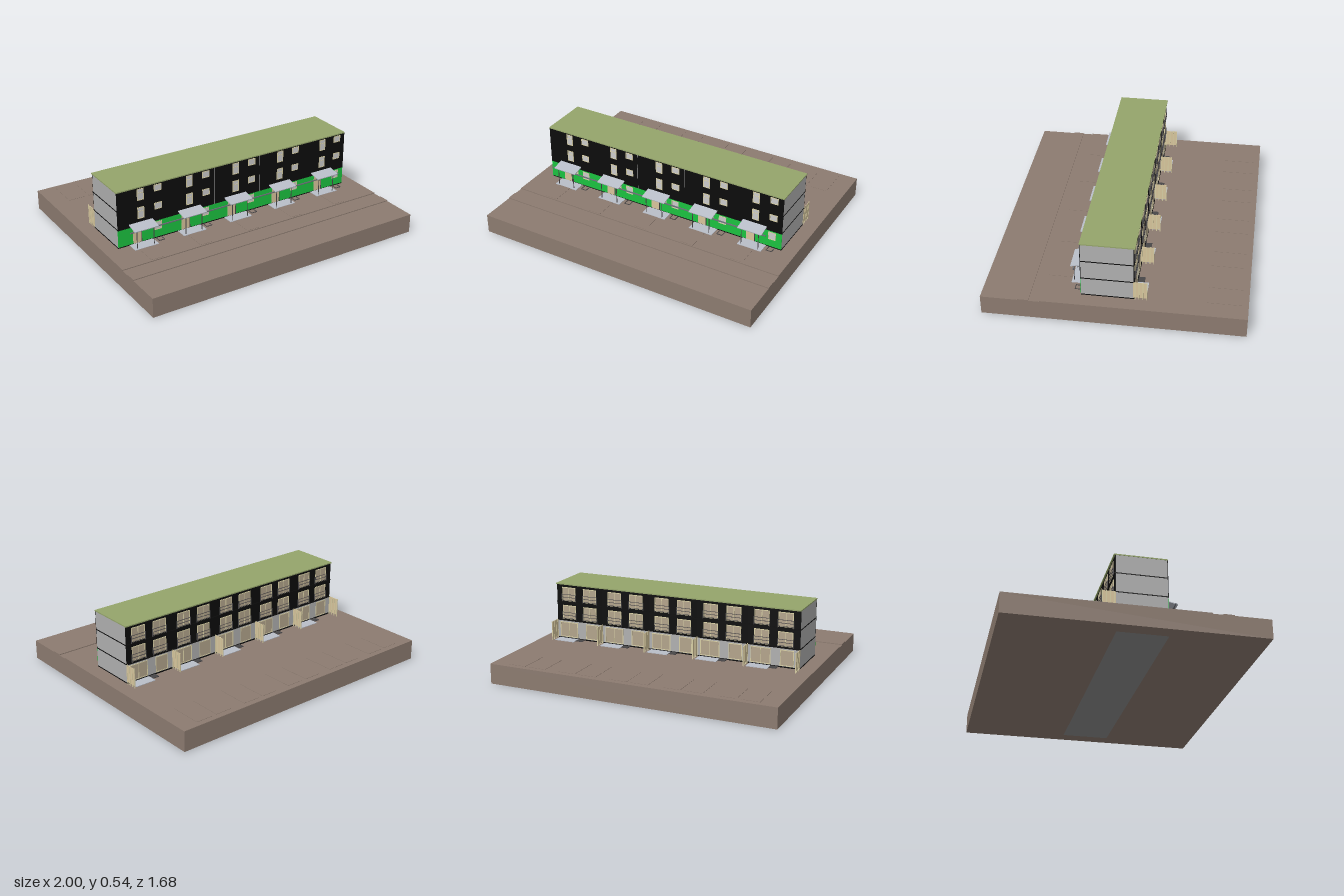
import * as THREE from 'three';

const mat = (color) => new THREE.MeshStandardMaterial({ color });
const M = {
  soil: mat(0x8c7b70), grey: mat(0xb0b0b0), slab: mat(0x8a8a8a), black: mat(0x0c0c0c),
  green: mat(0x1bc23f), roof: mat(0x95a56b), cream: mat(0xd8cfa4), beige: mat(0xd8c59c),
  pane: mat(0xc4c4c4), canopy: mat(0xb9bec8), dark: mat(0x484648), steel: mat(0x6c7078),
  blind: mat(0xb3a48c),
};

// Box given by its extents on each axis
function box(parent, name, m, x0, x1, y0, y1, z0, z1) {
  const mesh = new THREE.Mesh(new THREE.BoxGeometry(x1 - x0, y1 - y0, z1 - z0), m);
  mesh.position.set((x0 + x1) / 2, (y0 + y1) / 2, (z0 + z1) / 2);
  mesh.name = name;
  parent.add(mesh);
  return mesh;
}

function group(parent, name) {
  const g = new THREE.Group();
  g.name = name;
  parent.add(g);
  return g;
}

// Framed window on a wall at depth z; dir is +1 for front, -1 for back
function windowUnit(parent, x0, x1, y0, y1, z, dir, glass, bar) {
  const g = group(parent, 'window');
  const f = 0.005;
  const put = (name, m, a, b, c, d, depth) =>
    box(g, name, m, a, b, c, d, Math.min(z, z + dir * depth), Math.max(z, z + dir * depth));
  put('windowPane', glass, x0 + f, x1 - f, y0 + f, y1 - f, 0.001);
  put('windowJamb', M.cream, x0, x0 + f, y0, y1, 0.003);
  put('windowJamb', M.cream, x1 - f, x1, y0, y1, 0.003);
  put('windowSill', M.cream, x0 + f, x1 - f, y0, y0 + f, 0.003);
  put('windowHead', M.cream, x0 + f, x1 - f, y1 - f, y1, 0.003);
  if (bar) {
    const y = y0 + (y1 - y0) * bar;
    put('windowBar', M.cream, x0 + f, x1 - f, y - 0.002, y + 0.002, 0.003);
  }
}

const X = 0.9, UNIT = 0.36, G = 0.138;   // half length, house width, ground level
const ZF = 0.21, ZB = -0.12;             // front and back wall planes

function buildGround(root) {
  const g = group(root, 'ground');
  const rect = (P, x, z0, z1) => {
    const p = new P();
    p.moveTo(-x, -z1); p.lineTo(x, -z1); p.lineTo(x, -z0); p.lineTo(-x, -z0); p.closePath();
    return p;
  };
  // Block with an opening for the foundations
  const plan = rect(THREE.Shape, 1, -0.84, 0.84);
  plan.holes.push(rect(THREE.Path, X, ZB, ZF));
  const geo = new THREE.ExtrudeGeometry(plan, { depth: 0.132, bevelEnabled: false });
  geo.rotateX(-Math.PI / 2);
  const block = new THREE.Mesh(geo, M.soil);
  block.name = 'groundBlock';
  g.add(block);
  // Pavement and raised plot beside the road
  box(g, 'pavement', M.soil, -1, 1, 0.132, G, 0.53, 0.6);
  box(g, 'plot', M.soil, -1, 1, 0.132, G, -0.84, 0.46);
  // Parking bays behind the houses
  for (let i = 0; i < 5; i++) for (const s of [-1, 1]) {
    const x = -0.74 + i * 0.37 + s * 0.075;
    box(g, 'parkingBay', M.soil, x - 0.06, x + 0.06, G, G + 0.002, -0.8, -0.58);
  }
}

function buildFront(h, x) {
  // Upper cladding with a tall and a small window on each floor
  box(h, 'frontCladding', M.black, x, x + UNIT, 0.265, 0.53, ZF, ZF + 0.004);
  for (const top of [0.524, 0.395]) {
    windowUnit(h, x + 0.144, x + 0.193, top - 0.081, top, ZF + 0.004, 1, M.pane, 0.65);
    windowUnit(h, x + 0.267, x + 0.323, top - 0.047, top, ZF + 0.004, 1, M.pane);
  }
  // Ground floor
  box(h, 'groundFloorCladding', M.green, x, x + UNIT, 0.145, 0.265, ZF, ZF + 0.003);
  box(h, 'frontDoor', M.beige, x + 0.107, x + 0.166, 0.145, 0.262, ZF, ZF + 0.005);
  box(h, 'doorEdge', M.dark, x + 0.166, x + 0.171, 0.145, 0.262, ZF, ZF + 0.006);
  windowUnit(h, x + 0.188, x + 0.225, 0.219, 0.257, ZF + 0.003, 1, M.pane);
  windowUnit(h, x + 0.264, x + 0.318, 0.199, 0.257, ZF + 0.003, 1, M.pane);
  // Sloping entrance canopy on two posts
  const c = group(h, 'entranceCanopy');
  const roof = box(c, 'canopyRoof', M.canopy, x + 0.08, x + 0.252, 0.276, 0.282, 0.211, 0.297);
  roof.rotation.x = Math.atan2(0.018, 0.086);
  for (const px of [0.102, 0.225])
    box(c, 'canopyPost', M.dark, x + px - 0.002, x + px + 0.002, G, 0.263, 0.276, 0.28);
  // Entrance slab, path and light-well frame
  box(h, 'entranceSlab', M.canopy, x + 0.08, x + 0.252, G, G + 0.004, ZF, 0.292);
  box(h, 'gardenPath', M.soil, x + 0.11, x + 0.2, G, G + 0.002, 0.292, 0.45);
  const w = group(h, 'lightWellFrame');
  for (const a of [0.272, 0.311]) box(w, 'frameSide', M.dark, x + a, x + a + 0.004, G, G + 0.004, ZF, 0.26);
  box(w, 'frameEnd', M.dark, x + 0.272, x + 0.315, G, G + 0.004, 0.256, 0.26);
}

function buildBack(h, x) {
  box(h, 'backCladding', M.black, x, x + UNIT, 0.272, 0.53, ZB - 0.003, ZB);
  // Tall windows with railings on the upper floors
  for (const y of [0.281, 0.412]) for (const cx of [0.1, 0.265]) {
    const a = x + cx - 0.052, b = x + cx + 0.052;
    windowUnit(h, a, b, y, y + 0.1, ZB - 0.003, -1, M.blind);
    box(h, 'windowMullion', M.cream, x + cx - 0.002, x + cx + 0.002, y, y + 0.1, ZB - 0.006, ZB - 0.003);
    const r = group(h, 'windowRailing');
    for (const ry of [0.004, 0.026, 0.047])
      box(r, 'rail', M.dark, a - 0.004, b + 0.004, y + ry, y + ry + 0.003, ZB - 0.011, ZB - 0.008);
    for (const rx of [a - 0.004, b + 0.001])
      box(r, 'railPost', M.dark, rx, rx + 0.003, y - 0.005, y + 0.05, ZB - 0.011, ZB - 0.003);
  }
  // Ground floor with garden door and window
  box(h, 'backGroundFloorWall', M.grey, x, x + UNIT, 0.145, 0.268, ZB - 0.003, ZB);
  windowUnit(h, x + 0.2, x + 0.34, 0.148, 0.258, ZB - 0.003, -1, M.blind);
  box(h, 'doorMullion', M.cream, x + 0.268, x + 0.272, 0.148, 0.258, ZB - 0.006, ZB - 0.003);
  windowUnit(h, x + 0.04, x + 0.135, 0.148, 0.258, ZB - 0.003, -1, M.blind);
  // Terrace and grating
  box(h, 'terrace', M.canopy, x + 0.195, x + 0.345, G, G + 0.004, -0.2, ZB);
  box(h, 'grating', M.dark, x + 0.145, x + 0.195, G, G + 0.005, -0.17, ZB);
}

// Slatted privacy fence running out from the back wall
function buildFence(root, x) {
  const f = group(root, 'privacyFence');
  box(f, 'fencePanel', M.beige, x - 0.001, x + 0.001, 0.152, 0.272, -0.208, ZB);
  for (let i = 0; i < 4; i++) {
    const z = -0.208 + i * 0.025;
    box(f, 'fencePost', M.cream, x - 0.003, x + 0.003, G, 0.274, z, z + 0.005);
  }
}

export function createModel() {
  const root = new THREE.Group();
  root.name = 'terracedHouses';
  buildGround(root);

  for (let i = 0; i < 5; i++) {
    const x = -X + i * UNIT;
    const h = group(root, 'house');
    box(h, 'foundation', M.slab, x, x + UNIT, 0, 0.14, ZB, ZF);
    box(h, 'houseBody', M.grey, x, x + UNIT, 0.14, 0.53, ZB, ZF);
    buildFront(h, x);
    buildBack(h, x);
  }
  for (let i = 0; i <= 5; i++) buildFence(root, -X + i * UNIT);

  // Dark floor bands around the row
  for (const y of [0.138, 0.268, 0.4])
    box(root, 'floorBand', M.black, -X - 0.001, X + 0.001, y, y + 0.007, ZB - 0.008, ZF + 0.002);
  // Joints in the front cladding
  for (const x of [-0.18, 0.18])
    box(root, 'claddingJoint', M.pane, x - 0.001, x + 0.001, 0.265, 0.53, ZF, ZF + 0.005);
  box(root, 'canopyBeam', M.steel, -0.845, 0.815, 0.258, 0.265, 0.272, 0.279);
  box(root, 'roof', M.roof, -X - 0.002, X + 0.002, 0.53, 0.538, -0.132, 0.215);
  return root;
}
